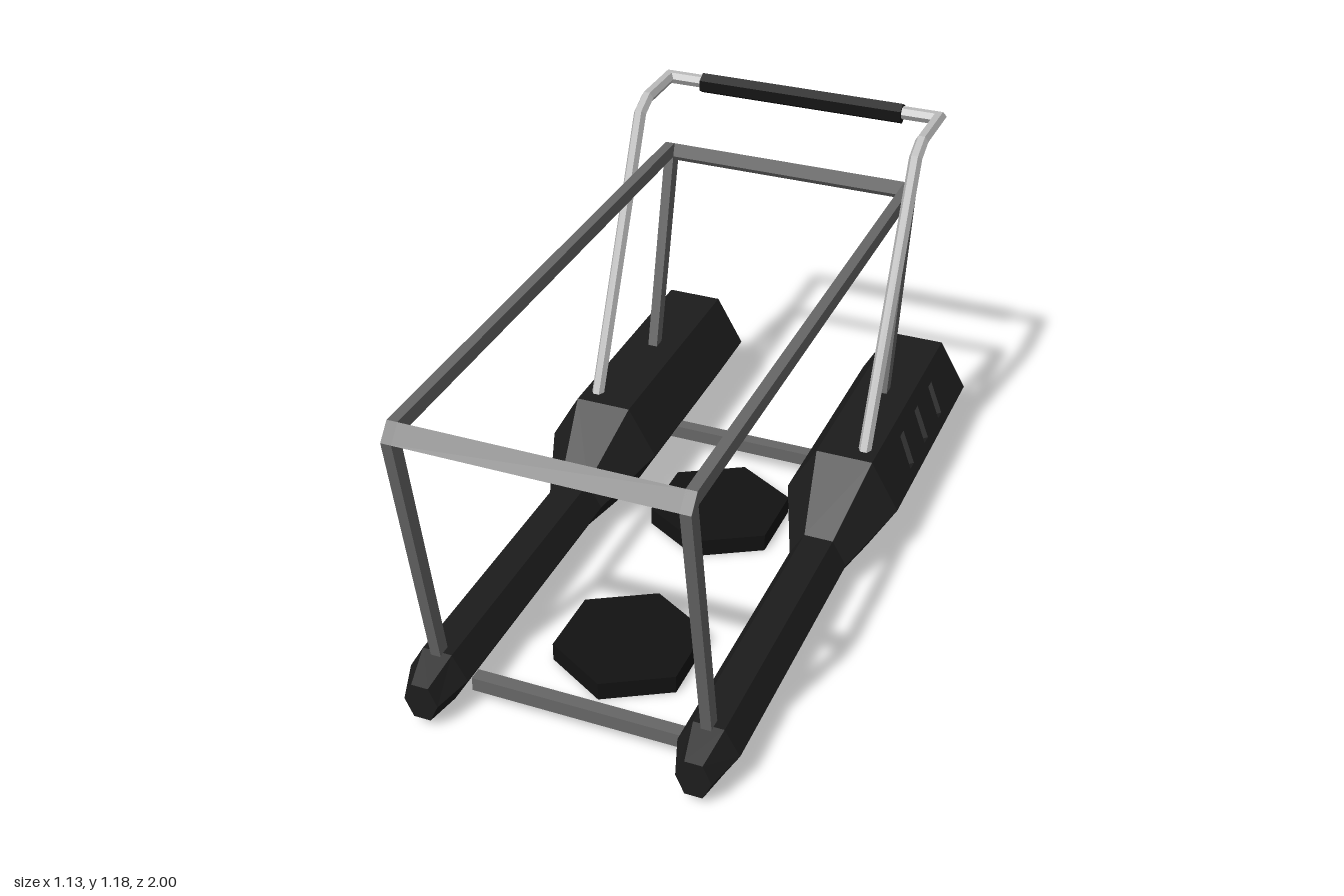
import * as THREE from 'three';

const material = (color) => new THREE.MeshStandardMaterial({ color, flatShading: true });
const V = (x, y, z) => new THREE.Vector3(x, y, z);

function part(name, geometry, mat) {
  const mesh = new THREE.Mesh(geometry, mat);
  mesh.name = name;
  return mesh;
}

// Skin over rings of points (counter-clockwise about the path), capped at both ends
function loft(rings, skip = () => false) {
  const pos = [];
  const tri = (...pts) => pts.forEach((p) => pos.push(p.x, p.y, p.z));
  const n = rings[0].length;
  for (let k = 0; k < rings.length - 1; k++) {
    const a = rings[k], b = rings[k + 1];
    for (let i = 0; i < n; i++) {
      if (skip(k, i)) continue;
      const j = (i + 1) % n;
      tri(a[i], a[j], b[j]);
      tri(a[i], b[j], b[i]);
    }
  }
  const first = rings[0], last = rings[rings.length - 1];
  for (let i = 1; i < n - 1; i++) {
    tri(first[0], first[i + 1], first[i]);
    tri(last[0], last[i], last[i + 1]);
  }
  const g = new THREE.BufferGeometry();
  g.setAttribute('position', new THREE.Float32BufferAttribute(pos, 3));
  g.computeVertexNormals();
  return g;
}

// Hexagonal tube along a polyline, with mitred corners
function mitredTube(points, radius) {
  const dirs = points.slice(1).map((p, i) => p.clone().sub(points[i]).normalize());
  const u = V(1, 0, 0), v = dirs[0].clone().cross(u);
  let ring = Array.from({ length: 6 }, (_, i) => {
    const a = (i * Math.PI) / 3;
    return points[0].clone().addScaledVector(u, radius * Math.cos(a)).addScaledVector(v, radius * Math.sin(a));
  });
  const rings = [ring];
  dirs.forEach((d, k) => {
    const normal = d.clone().add(dirs[k + 1] || d).normalize();
    ring = ring.map((q) => {
      const t = points[k + 1].clone().sub(q).dot(normal) / d.dot(normal);
      return q.clone().addScaledVector(d, t);
    });
    rings.push(ring);
  });
  return loft(rings);
}

// Outline given as [z, y], extruded across x and centred on x = 0
function extrudeAcross(outline, width) {
  const shape = new THREE.Shape(outline.map(([z, y]) => new THREE.Vector2(-z, y)));
  return new THREE.ExtrudeGeometry(shape, { depth: width, bevelEnabled: false })
    .translate(0, 0, -width / 2)
    .rotateY(Math.PI / 2);
}

const POD_X = 0.392, POD_Y = 0.177, POD_R = 0.173, POD_BACK = -1, POD_SHOULDER = -0.24;

function hexRing(z, r, cy, ry = r) {
  return Array.from({ length: 6 }, (_, i) => {
    const a = (i * Math.PI) / 3;
    return V(POD_X + r * Math.cos(a), cy + ry * Math.sin(a), z);
  });
}

// Long hexagonal pod: recessed tail, wide rear, slim front, tapered nose
function podBody() {
  const rings = [
    hexRing(-0.92, 0.085, POD_Y),
    hexRing(-0.975, 0.112, POD_Y),
    hexRing(POD_BACK, 0.125, POD_Y),
    hexRing(POD_BACK, POD_R, POD_Y),
    hexRing(POD_SHOULDER, POD_R, POD_Y),
    hexRing(-0.02, 0.087, 0.102),
    hexRing(0.85, 0.087, 0.102),
    hexRing(0.955, 0.05, 0.082, 0.063),
  ];
  // the two outer rear faces are replaced by slotted panels
  return loft(rings, (k, i) => k === 3 && (i === 0 || i === 5));
}

// Flat panel with three slanted slots, laid on an outer face of the pod
function ventPanel(name, from, to, low, high, mat) {
  const depth = 0.025;
  const shape = new THREE.Shape([
    new THREE.Vector2(-POD_SHOULDER, 0), new THREE.Vector2(-POD_BACK, 0),
    new THREE.Vector2(-POD_BACK, POD_R), new THREE.Vector2(-POD_SHOULDER, POD_R),
  ]);
  for (let i = 0; i < 3; i++) {
    const s = 0.428 + i * 0.155;
    shape.holes.push(new THREE.Path([
      new THREE.Vector2(s, low), new THREE.Vector2(s + 0.037, high),
      new THREE.Vector2(s + 0.072, high), new THREE.Vector2(s + 0.037, low),
    ]));
  }
  const group = new THREE.Group();
  group.name = name;
  const panel = new THREE.ExtrudeGeometry(shape, { depth, bevelEnabled: false }).translate(0, 0, -depth);
  const floor = new THREE.PlaneGeometry(0.46, 0.14).translate(0.62, POD_R / 2, -depth);
  group.add(part('slottedPanel', panel, mat), part('slotFloor', floor, mat));
  const ax = V(0, 0, -1), ay = to.clone().sub(from).normalize();
  const m = new THREE.Matrix4().makeBasis(ax, ay, ax.clone().cross(ay));
  group.quaternion.setFromRotationMatrix(m);
  group.position.set(from.x, from.y, 0);
  return group;
}

export function createModel() {
  const model = new THREE.Group();
  model.name = 'hoverCart';
  const black = material(0x1c1c1c), rubber = material(0x121212);
  const steel = material(0x666666), bright = material(0xbbbbbb);

  // Side assemblies: pod, basket frame side and handle arm, mirrored in x
  for (const [name, sign] of [['left', 1], ['right', -1]]) {
    const side = new THREE.Group();
    side.name = name + 'Side';
    const corners = hexRing(0, POD_R, POD_Y);
    side.add(
      part('pod', podBody(), black),
      ventPanel('upperVents', corners[0], corners[1], 0.032, 0.13, black),
      ventPanel('lowerVents', corners[5], corners[0], 0.049, 0.147, black),
    );

    // Posts and top rail as one chamfered arch
    const arch = extrudeAcross([
      [0.815, 0.13], [0.855, 0.13], [1.0, 0.935], [0.962, 0.98], [-0.787, 0.98], [-0.82, 0.93],
      [-0.655, 0.28], [-0.615, 0.28], [-0.775, 0.938], [0.957, 0.938],
    ].reverse(), 0.03);
    const frame = part('frameSide', arch, steel);
    frame.position.x = 0.39;
    side.add(frame);

    side.add(part('handleArm', mitredTube([
      V(0.437, 0.28, -0.282), V(0.437, 1.122, -0.662), V(0.437, 1.152, -0.72),
      V(0.437, 1.152, -0.9), V(0.3, 1.152, -0.9),
    ], 0.02), bright));
    side.scale.x = sign;
    model.add(side);
  }

  // Top cross rails of the frame
  model.add(
    part('frontTopRail', extrudeAcross([[1.0, 0.935], [0.962, 0.98], [0.95, 0.94], [0.963, 0.927]].reverse(), 0.81), steel),
    part('rearTopRail', extrudeAcross([[-0.825, 0.93], [-0.787, 0.98], [-0.775, 0.94], [-0.785, 0.925]], 0.81), steel),
  );

  // Low bars joining the pods
  for (const [name, z] of [['frontCrossBar', 0.8], ['rearCrossBar', -0.57]]) {
    const bar = part(name, new THREE.BoxGeometry(0.62, 0.042, 0.04), steel);
    bar.position.set(0, 0.066, z);
    model.add(bar);
  }

  // Hexagonal lift pads
  for (const [name, z] of [['frontPad', 0.465], ['rearPad', -0.24]]) {
    const pad = part(name, new THREE.CylinderGeometry(0.216, 0.216, 0.055, 6), rubber);
    pad.position.set(0, 0.0275, z);
    model.add(pad);
  }

  // Handle grip
  const grip = part('grip', new THREE.CylinderGeometry(0.032, 0.032, 0.65, 6).rotateY(Math.PI / 6).rotateZ(Math.PI / 2), rubber);
  grip.position.set(0, 1.148, -0.9);
  model.add(grip);

  return model;
}
